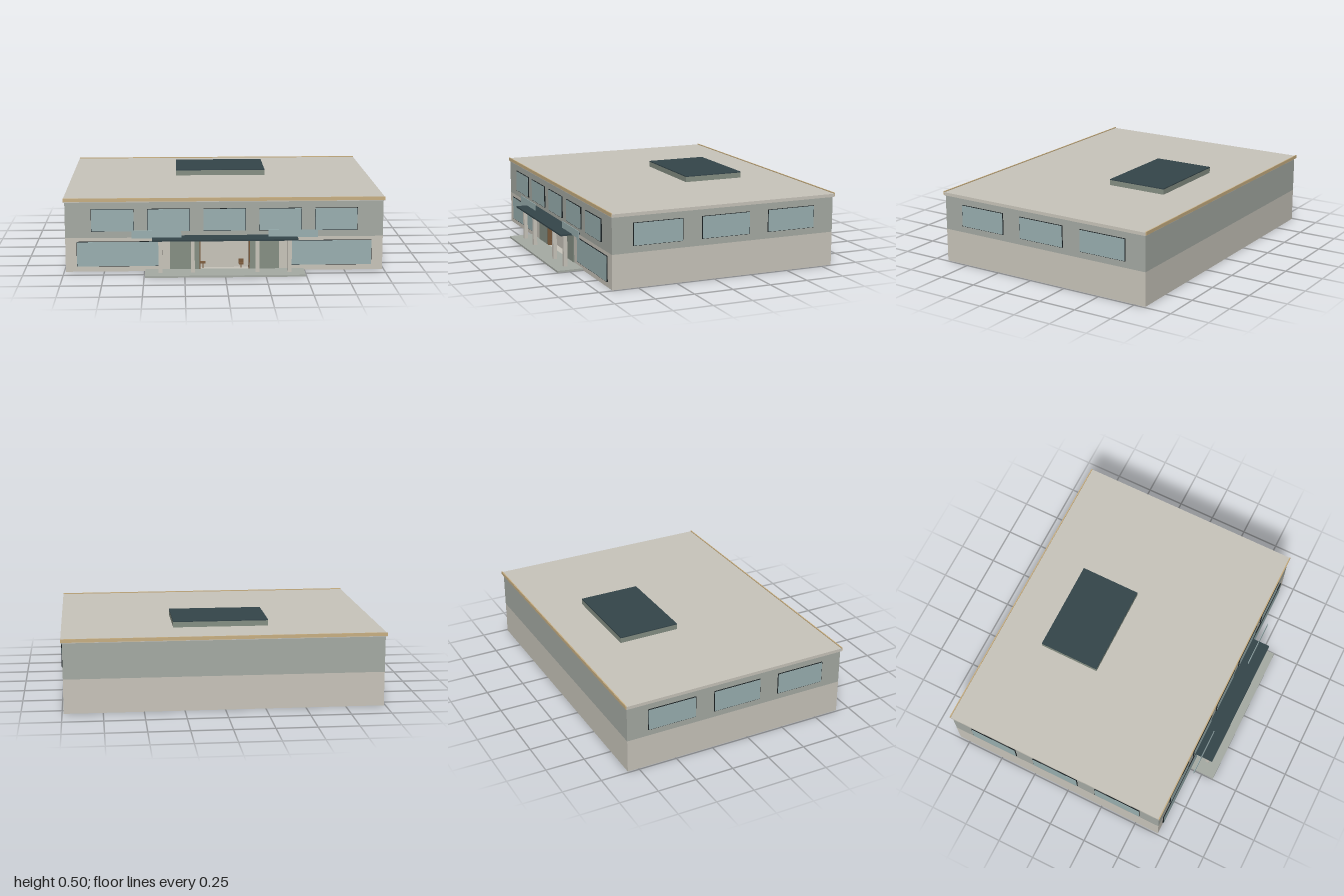
import * as THREE from 'three';

const mat = (color) => new THREE.MeshStandardMaterial({ color });
const M = {
  cream: mat(0xc9c5bb), grey: mat(0xa6aba4), glass: mat(0x9ab0b1), dark: mat(0x1c2224),
  slate: mat(0x34454a), green: mat(0x869084), tan: mat(0xc9b083), brown: mat(0x7a5a3c),
};

export function createModel() {
  const root = new THREE.Group();
  root.name = 'officeBuilding';

  // Box given by its extents along each axis
  const box = (name, material, x0, x1, y0, y1, z0, z1, parent = root) => {
    const m = new THREE.Mesh(new THREE.BoxGeometry(x1 - x0, y1 - y0, z1 - z0), material);
    m.position.set((x0 + x1) / 2, (y0 + y1) / 2, (z0 + z1) / 2);
    m.name = name;
    parent.add(m);
    return m;
  };

  const W = 0.99, F = 0.663, B = -0.822;

  // Floor slab and entrance terrace
  box('floorSlab', M.cream, -W, W, 0, 0.01, B, F);
  box('terrace', M.grey, -0.495, 0.495, 0, 0.012, F, 0.83);

  // Ground storey with a shallow entrance recess, and upper storey
  const recess = 0.155, recessBack = F - 0.05;
  box('groundStorey', M.cream, -W, W, 0.01, 0.215, B, recessBack);
  for (const s of [-1, 1]) {
    const a = s * recess, b = s * W;
    box('groundFrontWall', M.cream, Math.min(a, b), Math.max(a, b), 0.01, 0.215, recessBack, F);
  }
  box('upperStorey', M.grey, -W, W, 0.215, 0.44, B, F);

  // Roof slab, edge trims and rooftop unit
  box('roofSlab', M.cream, -1, 1, 0.44, 0.46, -0.827, 0.667);
  box('frontRoofTrim', M.tan, -1, 1, 0.445, 0.466, 0.664, 0.671);
  box('backRoofTrim', M.tan, -1, 1, 0.445, 0.466, -0.833, -0.826);
  box('rooftopUnit', M.green, -0.3, 0.3, 0.46, 0.494, -0.53, -0.13);
  box('rooftopUnitLid', M.slate, -0.3, 0.3, 0.494, 0.5, -0.53, -0.13);

  // Window: dark frame with a glass pane standing slightly proud
  const makeWindow = (name, w, h) => {
    const g = new THREE.Group();
    g.name = name;
    box('windowFrame', M.dark, -w / 2, w / 2, -h / 2, h / 2, -0.005, 0.007, g);
    const e = 0.002;
    box('windowPane', M.glass, -w / 2 + e, w / 2 - e, -h / 2 + e, h / 2 - e, 0, 0.008, g);
    root.add(g);
    return g;
  };
  for (let i = -2; i <= 2; i++) {
    makeWindow('upperFrontWindow', 0.265, 0.142).position.set(i * 0.348, 0.327, F);
  }
  for (const s of [-1, 1]) {
    makeWindow('lowerFrontWindow', 0.51, 0.158).position.set(s * 0.665, 0.113, F);
    for (const z of [0.368, -0.079, -0.525]) {
      const w = makeWindow('sideWindow', 0.32, 0.14);
      w.position.set(s * W, 0.327, z);
      w.rotation.y = s * Math.PI / 2;
    }
  }

  // Entrance: side panels, jambs and lintel
  for (const s of [-1, 1]) {
    const panel = box('entrancePanel', M.green, -0.0925, 0.0925, 0.012, 0.21, F - 0.005, F + 0.004);
    panel.position.x = s * 0.2475;
    const jamb = box('doorJamb', M.brown, -0.003, 0.003, 0.012, 0.212, recessBack, F + 0.008);
    jamb.position.x = s * 0.154;
  }
  box('doorLintel', M.tan, -recess, recess, 0.207, 0.213, recessBack, F + 0.008);

  // Small table and chair in the entrance
  box('tableTop', M.brown, -0.152, -0.118, 0.043, 0.049, 0.618, 0.655);
  box('tableLeg', M.brown, -0.138, -0.132, 0.01, 0.043, 0.633, 0.639);
  box('chairSeat', M.brown, 0.09, 0.12, 0.035, 0.042, 0.618, 0.65);
  box('chairBack', M.brown, 0.09, 0.12, 0.042, 0.065, 0.618, 0.624);
  box('chairLeg', M.brown, 0.102, 0.108, 0.01, 0.035, 0.631, 0.637);

  // Canopy on four columns, with two upright glass plates
  box('canopy', M.slate, -0.45, 0.45, 0.218, 0.228, F, 0.79);
  for (const x of [-0.4, -0.2, 0.2, 0.4]) {
    box('canopyColumn', M.cream, x - 0.012, x + 0.012, 0.012, 0.218, 0.734, 0.758);
  }
  for (const s of [-1, 1]) {
    const plate = box('canopyGlassPlate', M.glass, -0.153, 0.153, 0.223, 0.271, 0.714, 0.718);
    plate.position.x = s * 0.423;
  }

  return root;
}
